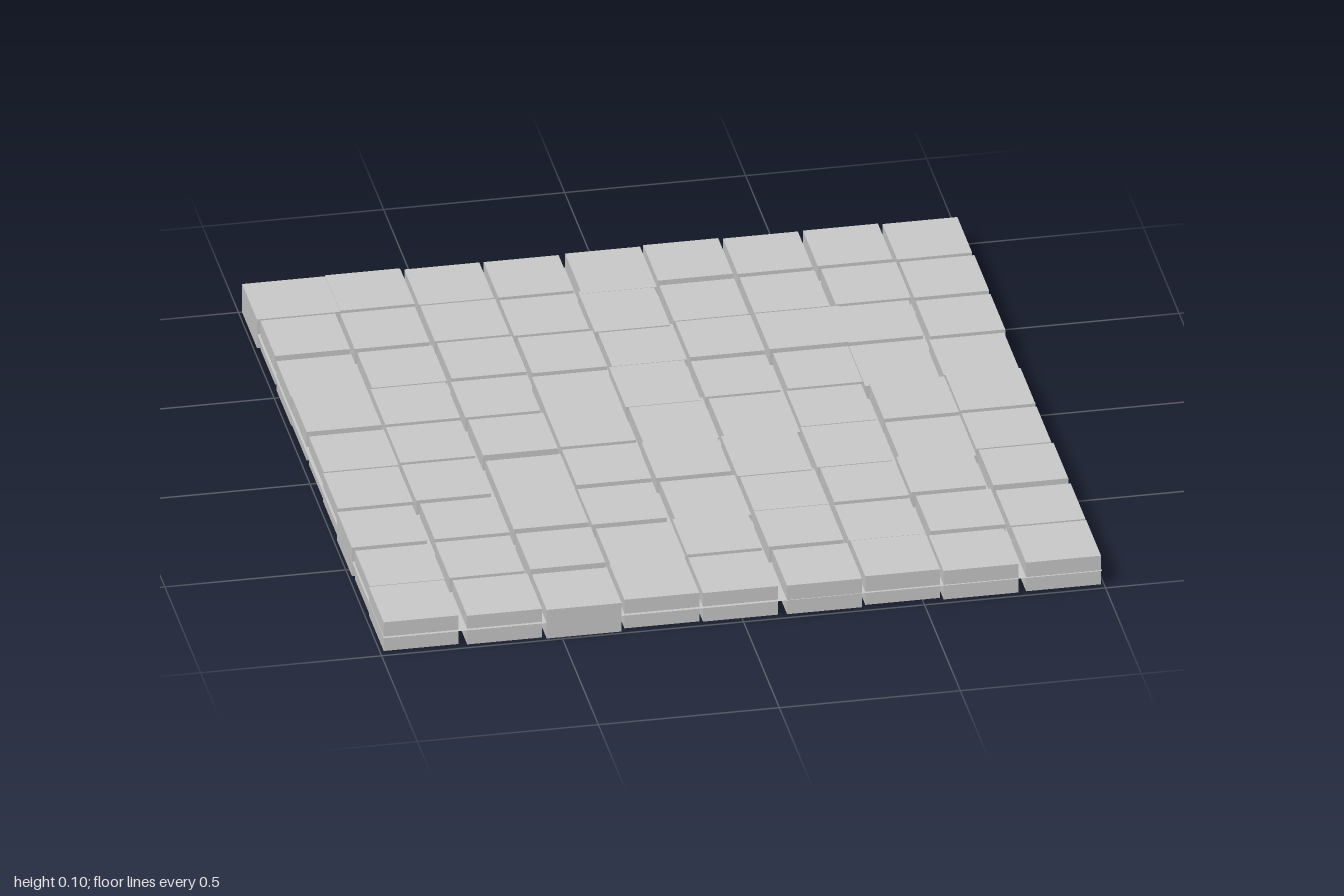
import * as THREE from 'three';

const COUNT = 9;
const PITCH = 0.2208;
const TILE = 0.207;
const SHIFT = 0.0065;

// One character per stone: '.' single, 'r' runs on to the right, 'd' runs on to the front
const LAYOUT = [
  'r...d....',
  '....d....',
  '......r..',
  '....d..d.',
  '....dd...',
  '.....ddd.',
  '....d....',
  '.........',
  '.........',
];

// Small seeded generator, returns -1..1
function makeRandom(seed) {
  let s = seed;
  return () => {
    s = (s * 16807) % 2147483647;
    return (s / 2147483647) * 2 - 1;
  };
}

export function createModel() {
  const model = new THREE.Group();
  model.name = 'pavedFloor';
  const stoneMaterial = new THREE.MeshStandardMaterial({ color: 0xcccccc, flatShading: true });
  const mortarMaterial = new THREE.MeshStandardMaterial({ color: 0xcccccc, side: THREE.DoubleSide });
  const random = makeRandom(4711);

  // Paving stones, each a little shifted and at a slightly different height
  const stones = new THREE.Group();
  stones.name = 'pavingStones';
  for (let row = 0; row < COUNT; row++) {
    for (let col = 0; col < COUNT; col++) {
      const join = LAYOUT[row][col];
      const width = TILE + (join === 'r' ? PITCH - TILE + 2 * SHIFT : 0);
      const depth = TILE + (join === 'd' ? PITCH - TILE + 2 * SHIFT : 0);
      const stone = new THREE.Mesh(new THREE.BoxGeometry(width, 0.088, depth), stoneMaterial);
      stone.name = `stone_${row}_${col}`;
      stone.position.set(
        (col - 4) * PITCH + (width - TILE) / 2 + random() * SHIFT,
        0.05 + random() * 0.005,
        (row - 4) * PITCH + (depth - TILE) / 2 + random() * SHIFT,
      );
      stones.add(stone);
    }
  }
  model.add(stones);

  // Mortar sheet that shows in the joints, halfway up the stones
  const mortar = new THREE.Mesh(new THREE.PlaneGeometry(1.984, 1.984), mortarMaterial);
  mortar.name = 'mortar';
  mortar.rotation.x = -Math.PI / 2;
  mortar.position.y = 0.05;
  model.add(mortar);

  return model;
}
